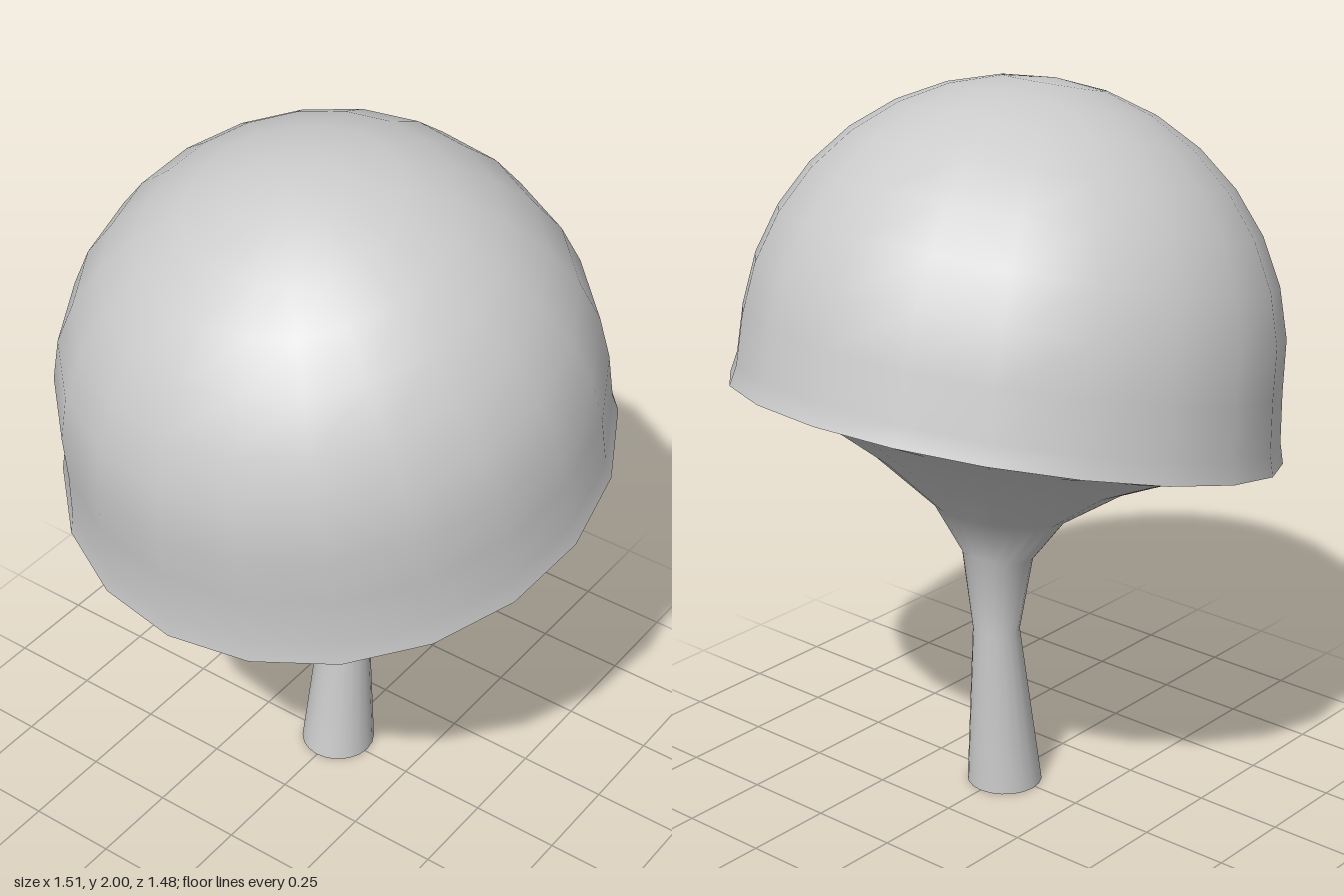
import * as THREE from 'three';
import { mergeVertices } from 'three/addons/utils/BufferGeometryUtils.js';

const SIDES = 20;
const TILT = 0.246; // lean of the cap towards the front

// Skins a stack of rings, bottom to top; each ring is [y, z, radius, tilt]
function loft(rings) {
  const pos = [], index = [];
  rings.forEach(([y, z, r, tilt], i) => {
    for (let j = 0; j < SIDES; j++) {
      const u = (j / SIDES) * Math.PI * 2;
      const d = r * Math.cos(u);
      pos.push(r * Math.sin(u), y - d * Math.sin(tilt), z + d * Math.cos(tilt));
      if (i === 0) continue;
      const k = (j + 1) % SIDES, lo = (i - 1) * SIDES, hi = i * SIDES;
      if (rings[i - 1][2] > 0) index.push(lo + j, lo + k, hi + k);
      if (r > 0) index.push(lo + j, hi + k, hi + j);
    }
  });
  let geo = new THREE.BufferGeometry();
  geo.setAttribute('position', new THREE.Float32BufferAttribute(pos, 3));
  geo.setIndex(index);
  geo = mergeVertices(geo, 1e-5);
  geo.computeVertexNormals();
  return geo;
}

export function createModel() {
  const group = new THREE.Group();
  const material = new THREE.MeshStandardMaterial({ color: 0xcccccc });
  const add = (name, geo) => {
    const mesh = new THREE.Mesh(geo, material);
    mesh.name = name;
    group.add(mesh);
  };
  const rim = [1.088, -0.005, 0.753, TILT];

  // Stem flaring into the underside of the cap
  add('stemAndUnderside', loft([
    [0, -0.01, 0.105, 0],
    [0.48, -0.045, 0.065, 0],
    [0.7, -0.04, 0.098, 0.2],
    [0.825, -0.028, 0.183, 0.2],
    [0.948, -0.03, 0.35, 0.24],
    [1.04, -0.005, 0.55, TILT],
    rim,
  ]));

  // Flat foot of the stem
  const foot = new THREE.CircleGeometry(0.105, SIDES);
  foot.rotateX(Math.PI / 2).translate(0, 0, -0.01);
  add('stemFoot', foot);

  // Cap: slightly flared rim under a tilted dome
  const cap = [rim, [1.145, 0.004, 0.739, TILT]];
  const steps = 8;
  for (let i = 0; i <= steps; i++) {
    const a = (i / steps) * Math.PI / 2;
    const h = 0.722 * Math.sin(a);
    const r = i === steps ? 0 : 0.73 * Math.cos(a);
    cap.push([1.28 + h * Math.cos(TILT), 0.02 + h * Math.sin(TILT), r, TILT]);
  }
  add('cap', loft(cap));

  return group;
}
